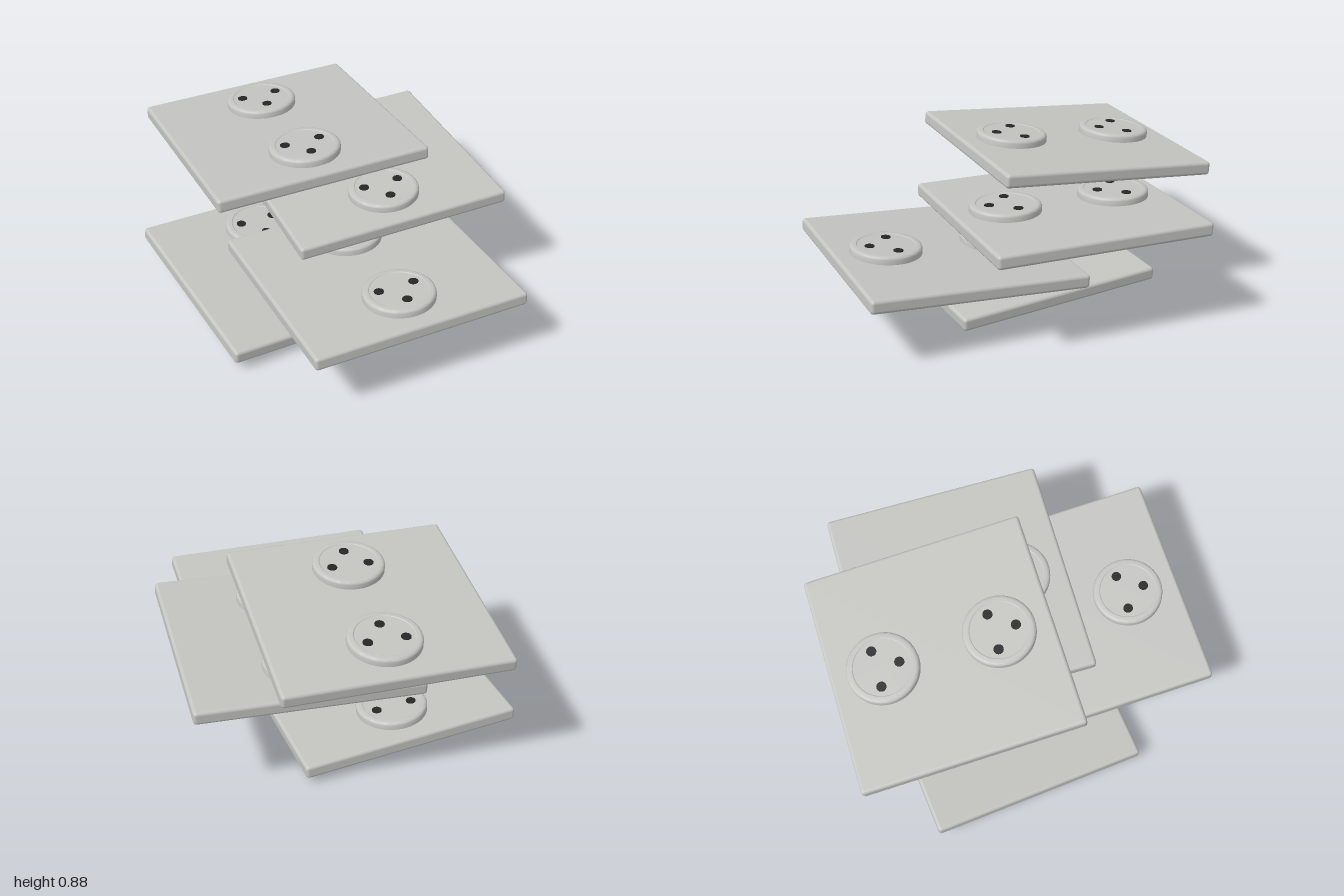
import * as THREE from 'three';
import { toCreasedNormals } from 'three/addons/utils/BufferGeometryUtils.js';
import { RoundedBoxGeometry } from 'three/addons/geometries/RoundedBoxGeometry.js';

const SIZE = 1.18, THICK = 0.073;

export function createModel() {
  const plasticGrey = new THREE.MeshStandardMaterial({ color: 0xc4c4c1 });
  const holeBlack = new THREE.MeshStandardMaterial({ color: 0x262626 });

  const plateGeo = new RoundedBoxGeometry(SIZE, THICK, SIZE, 4, 0.018);

  // Round socket cover: softened rim around a very shallow recess
  const profile = [
    [0.19, -0.005], [0.19, 0.026], [0.187, 0.034], [0.181, 0.039], [0.172, 0.041],
    [0.156, 0.041], [0.152, 0.038], [0, 0.038],
  ].map(([r, y]) => new THREE.Vector2(r, y));
  const coverGeo = toCreasedNormals(new THREE.LatheGeometry(profile, 64), 0.6);

  // Thin dark discs for the three pin holes
  const holeGeo = new THREE.CylinderGeometry(0.026, 0.026, 0.006, 24);
  const holeSpots = [[-0.098, -0.032], [0.098, -0.032], [0, 0.09]];

  function makeSocket(name) {
    const socket = new THREE.Group();
    socket.name = name;
    const cover = new THREE.Mesh(coverGeo, plasticGrey);
    cover.name = 'socketCover';
    socket.add(cover);
    for (const [x, z] of holeSpots) {
      const hole = new THREE.Mesh(holeGeo, holeBlack);
      hole.name = 'pinHole';
      hole.position.set(x, 0.039, z);
      socket.add(hole);
    }
    return socket;
  }

  function makePanel(name, position, pitch, yaw, roll) {
    const panel = new THREE.Group();
    panel.name = name;
    const plate = new THREE.Mesh(plateGeo, plasticGrey);
    plate.name = 'plate';
    panel.add(plate);
    for (const side of [-1, 1]) {
      const socket = makeSocket(side < 0 ? 'backSocket' : 'frontSocket');
      socket.position.set(0, THICK / 2, side * 0.31);
      panel.add(socket);
    }
    panel.position.set(...position);
    panel.rotation.set(pitch, yaw, roll, 'YXZ');
    return panel;
  }

  // Four loosely stacked, slightly tilted panels
  const model = new THREE.Group();
  model.name = 'socketPanels';
  model.add(
    makePanel('bottomPanel', [-0.245, 0.087, -0.135], 0.034, 0.066, -0.047),
    makePanel('lowerPanel', [0.03, 0.317, 0.395], -0.07, -0.015, 0.008),
    makePanel('upperPanel', [0.25, 0.544, -0.195], -0.01, -0.042, 0.034),
    makePanel('topPanel', [-0.12, 0.77, -0.397], -0.085, -0.026, 0.01),
  );
  return model;
}
